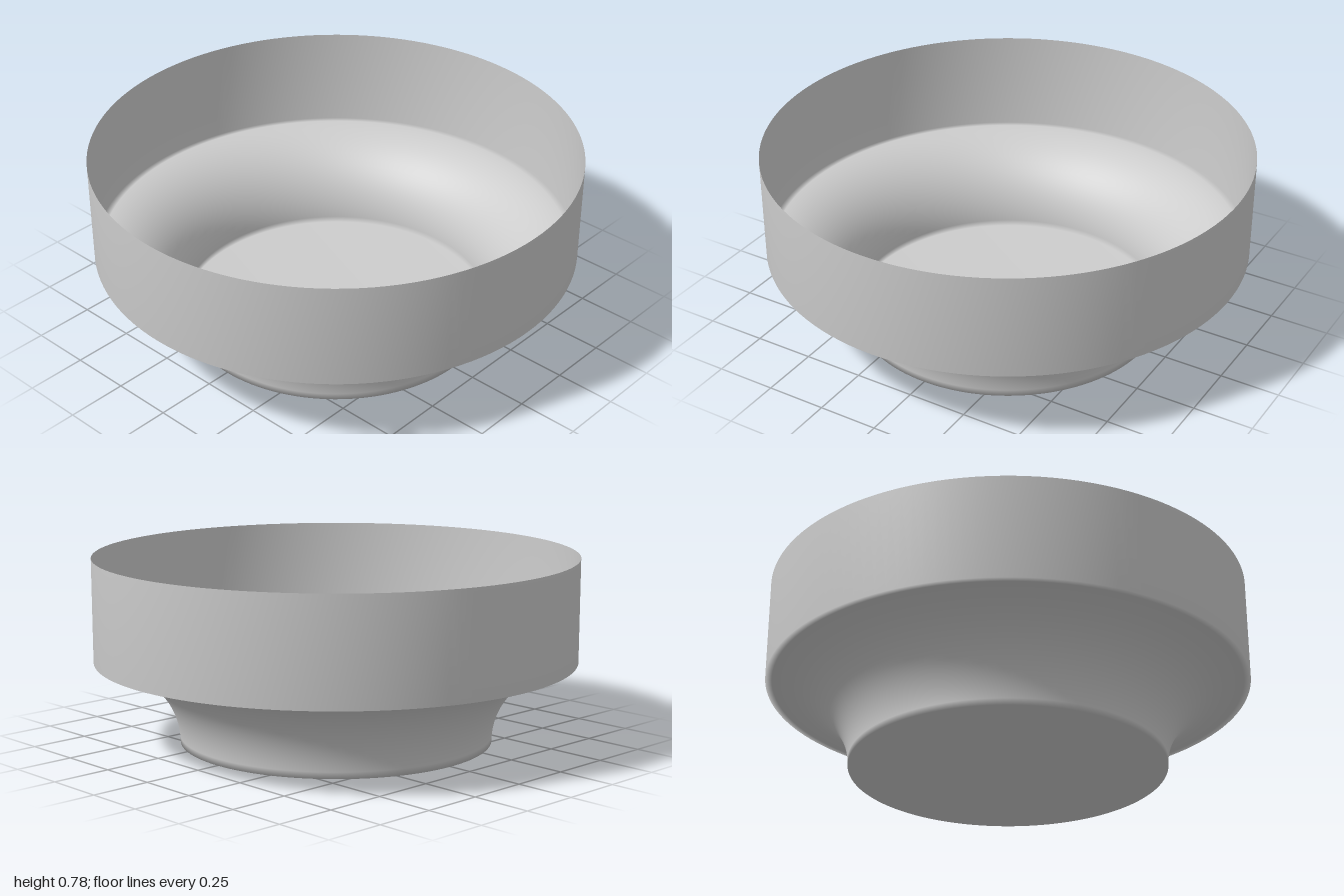
import * as THREE from 'three';

export function createModel() {
  const model = new THREE.Group();
  model.name = 'footedBowl';

  // Thin sheet, visible from inside and outside
  const bowlGrey = new THREE.MeshStandardMaterial({ color: 0xcccccc, side: THREE.DoubleSide });
  bowlGrey.name = 'bowlGrey';

  const rimRadius = 1, footRadius = 0.65, wallBase = 0.35, rimHeight = 0.78;
  const profile = [new THREE.Vector2(0, 0)];

  // Concave quarter-round cove from the foot out to the wall
  const coveSteps = 20;
  for (let i = 0; i <= coveSteps; i++) {
    const a = (i / coveSteps) * Math.PI / 2;
    profile.push(new THREE.Vector2(
      rimRadius - (rimRadius - footRadius) * Math.cos(a),
      wallBase * Math.sin(a)
    ));
  }

  // Straight upright wall
  profile.push(new THREE.Vector2(rimRadius, rimHeight));

  // Floor, cove and wall are one smooth turned shell
  const bowl = new THREE.Mesh(new THREE.LatheGeometry(profile, 128), bowlGrey);
  bowl.name = 'bowlShell';
  model.add(bowl);

  return model;
}
